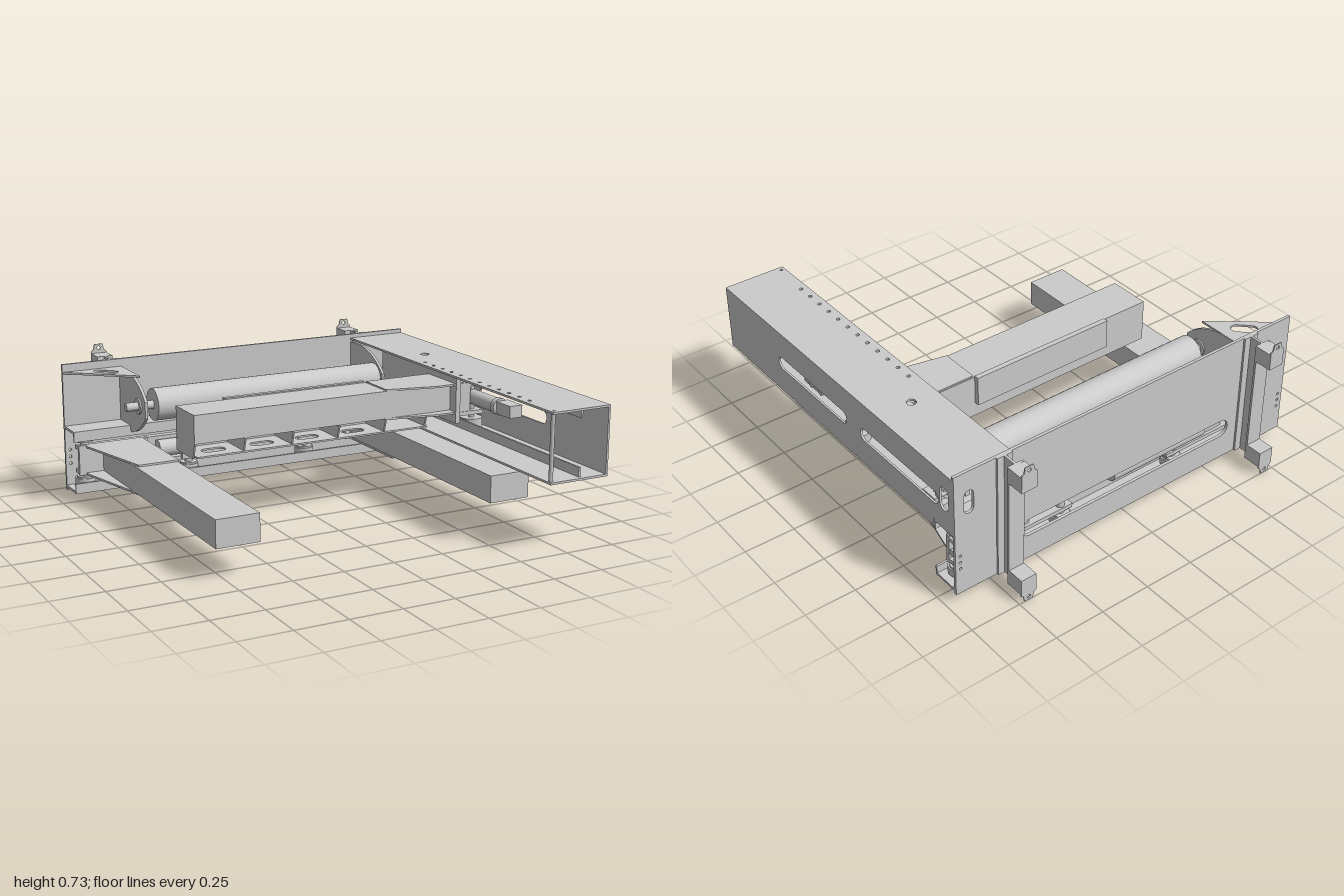
import * as THREE from 'three';

const mat = new THREE.MeshStandardMaterial({ color: 0xcccccc });

export function createModel() {
  const root = new THREE.Group();

  const add = (name, geo, parent = root) => {
    const m = new THREE.Mesh(geo, mat);
    m.name = name;
    parent.add(m);
    return m;
  };
  // box given by its limits on each axis
  const box = (name, x0, x1, y0, y1, z0, z1, parent) => add(name,
    new THREE.BoxGeometry(x1 - x0, y1 - y0, z1 - z0)
      .translate((x0 + x1) / 2, (y0 + y1) / 2, (z0 + z1) / 2), parent);
  // cylinder centred on a point, along one axis
  const rod = (name, axis, x, y, z, r, len, parent) => {
    const g = new THREE.CylinderGeometry(r, r, len, 32);
    if (axis === 'x') g.rotateZ(Math.PI / 2);
    if (axis === 'z') g.rotateX(Math.PI / 2);
    return add(name, g.translate(x, y, z), parent);
  };
  // stadium-shaped hole: centre, half length, radius, angle
  const slot = (u, v, half, r, a = 0) => {
    const p = new THREE.Path();
    const c = Math.cos(a) * half, s = Math.sin(a) * half;
    p.absarc(u + c, v + s, r, a - Math.PI / 2, a + Math.PI / 2);
    p.absarc(u - c, v - s, r, a + Math.PI / 2, a + Math.PI * 1.5);
    p.closePath();
    return p;
  };
  const hole = (u, v, r) => new THREE.Path().absarc(u, v, r, 0, Math.PI * 2);
  // flat plate from an outline; plates across x use (-z, y), across y use (x, -z)
  const plate = (name, axis, outline, holes, at, t, parent) => {
    const s = Array.isArray(outline)
      ? new THREE.Shape(outline.map(p => new THREE.Vector2(p[0], p[1]))) : outline;
    s.holes.push(...holes);
    const g = new THREE.ExtrudeGeometry(s, { depth: t, bevelEnabled: false, curveSegments: 12 });
    if (axis === 'x') g.rotateY(Math.PI / 2).translate(at, 0, 0);
    if (axis === 'y') g.rotateX(-Math.PI / 2).translate(0, at, 0);
    if (axis === 'z') g.translate(0, 0, at);
    return add(name, g, parent);
  };
  const rect = (u0, u1, v0, v1) => [[u0, v0], [u1, v0], [u1, v1], [u0, v1]];

  // back panel with window, end slot and bolt holes
  const bolts = [-0.93, 0.93].flatMap(x => [0.18, 0.215, 0.25].map(y => hole(x, y, 0.007)));
  plate('backPanel', 'z', rect(-0.955, 0.955, 0.045, 0.68),
    [slot(0, 0.215, 0.56, 0.045), slot(0.88, 0.52, 0.035, 0.025, Math.PI / 2), ...bolts], -0.83, 0.015);

  // cross rails that hold the lower rollers
  box('lowerRailWeb', -0.955, 0.955, 0.06, 0.072, -0.815, -0.685);
  box('lowerRailLip', -0.955, 0.955, 0.06, 0.11, -0.693, -0.682);
  box('upperRailWeb', -0.955, 0.955, 0.36, 0.372, -0.815, -0.685);
  box('upperRailLip', -0.955, 0.955, 0.32, 0.372, -0.693, -0.682);

  // rear posts of I section with mounting hooks
  for (const x of [-0.7, 0.7]) {
    const post = new THREE.Group();
    post.name = 'mountingPost';
    root.add(post);
    box('postWeb', x - 0.006, x + 0.006, 0.045, 0.68, -0.91, -0.83, post);
    box('postInnerFlange', x - 0.04, x + 0.04, 0.045, 0.68, -0.84, -0.83, post);
    box('postOuterFlange', x - 0.04, x + 0.04, 0.045, 0.68, -0.916, -0.905, post);
    for (const up of [1, -1]) {
      const Y = d => 0.3625 + up * d;
      const span = (a, b) => [Math.min(Y(a), Y(b)), Math.max(Y(a), Y(b))];
      for (const sx of [-0.04, 0.032])
        box('hookCheek', x + sx, x + sx + 0.008, ...span(0.237, 0.317), -1, -0.912, post);
      box('hookCap', x - 0.04, x + 0.04, ...span(0.309, 0.317), -1, -0.912, post);
      box('hookShelf', x - 0.04, x + 0.04, ...span(0.237, 0.245), -1, -0.912, post);
      const pts = [[x - 0.04, Y(0.237)], [x + 0.04, Y(0.237)], [x + 0.04, Y(0.325)], [x + 0.027, Y(0.335)],
        [x + 0.022, Y(0.3625)], [x - 0.022, Y(0.3625)], [x - 0.027, Y(0.335)], [x - 0.04, Y(0.325)]];
      plate('hookTab', 'z', pts, [hole(x, Y(0.343), 0.009)], -1, 0.006, post);
    }
  }

  // upper side arm: open channel along z
  const topHoles = Array.from({ length: 12 }, (_, i) => hole(0.68, 0.12 - i * 0.081, 0.009));
  plate('armTop', 'y', rect(0.645, 0.955, -1, 0.82),
    [...topHoles, hole(0.78, 0.285, 0.022), hole(0.665, -0.975, 0.007)], 0.65, 0.01);
  box('armBottom', 0.645, 0.955, 0.33, 0.34, -0.68, 1);
  plate('armWall', 'x',
    [[-1, 0.33], [0.68, 0.33], [0.68, 0.372], [0.815, 0.372], [0.815, 0.66], [-1, 0.66]],
    [slot(-0.255, 0.493, 0.253, 0.032), slot(0.43, 0.493, 0.258, 0.032),
      slot(0.76, 0.525, 0.03, 0.03, Math.PI / 2)], 0.945, 0.01);
  box('armLowerRailLip', 0.81, 0.82, 0.33, 0.385, -0.68, 0.98);
  box('armUpperRailLip', 0.81, 0.82, 0.61, 0.655, -0.8, 0.98);
  rod('armFrontPost', 'y', 0.662, 0.495, 0.975, 0.01, 0.32);
  // cylinder inside the arm
  rod('armCylinder', 'z', 0.88, 0.493, -0.225, 0.037, 0.95);
  rod('armCylinderCollar', 'z', 0.88, 0.493, 0.24, 0.042, 0.03);
  box('armClevis', 0.855, 0.925, 0.463, 0.523, 0.25, 0.37);
  for (const z of [0.29, 0.21, -0.69]) rod('armPin', 'x', 0.9, 0.493, z, 0.014, 0.08);

  // upper cross beam with ribbed tray beneath
  box('upperBeam', -0.62, 0.76, 0.435, 0.572, -0.205, 0.005);
  plate('beamTrayFloor', 'y', rect(-0.6, 0.63, 0.01, 0.2),
    [-0.48, -0.23, 0.01, 0.26].map(x => slot(x, 0.1, 0.03, 0.03)), 0.36, 0.008);
  box('beamTrayBack', -0.62, 0.63, 0.36, 0.435, -0.205, -0.195);
  for (const x of [-0.615, -0.36, -0.11, 0.135, 0.39, 0.62])
    plate('beamTrayRib', 'x', [[0.02, 0.36], [0.2, 0.36], [0.2, 0.436], [-0.004, 0.436]], [], x - 0.004, 0.008);
  box('beamWearStrip', -0.37, 0.385, 0.43, 0.578, -0.23, -0.204);
  const gusset = [[0.39, 0.2], [0.39, 0], [0.65, -0.055], [0.76, -0.055], [0.76, 0.2]];
  plate('beamGussetTop', 'y', gusset, [], 0.57, 0.009);
  plate('beamGussetBottom', 'y', gusset, [], 0.428, 0.009);
  // beam carriage and its rollers
  box('beamCarriage', 0.75, 0.775, 0.38, 0.62, -0.66, 0.06);
  for (const z of [-0.6, 0]) {
    box('beamAxleBlock', 0.77, 0.845, 0.41, 0.58, z - 0.04, z + 0.04);
    rod('beamAxle', 'y', 0.88, 0.495, z, 0.014, 0.27);
    for (const y of [0.365, 0.61]) rod('beamRoller', 'y', 0.88, y, z, 0.055, 0.045);
    for (const y of [0.42, 0.565]) box('beamAxleLug', 0.77, 0.92, y - 0.01, y + 0.01, z - 0.045, z + 0.045);
  }

  // large roller and its bearing plates
  rod('mainRoller', 'x', 0.025, 0.495, -0.565, 0.08, 1.23);
  rod('rollerShaft', 'x', -0.03, 0.495, -0.565, 0.021, 1.4);
  for (const x of [-0.662, 0.645]) {
    const s = new THREE.Shape();
    s.moveTo(0.82, 0.34);
    s.lineTo(0.82, 0.64);
    s.lineTo(0.7, 0.64);
    s.quadraticCurveTo(0.56, 0.62, 0.482, 0.53);
    s.lineTo(0.482, 0.45);
    s.quadraticCurveTo(0.56, 0.36, 0.68, 0.34);
    plate('bearingPlate', 'x', s, [], x, 0.014);
    rod('bearingHub', 'x', x + 0.007, 0.495, -0.565, 0.04, 0.03);
  }
  plate('cornerGusset', 'y', [[-0.955, 0.82], [-0.65, 0.57], [-0.65, 0.82]],
    [slot(-0.76, 0.735, 0.035, 0.028, -Math.PI / 4)], 0.632, 0.01);

  // lower arms, mirrored, each on a roller carriage
  for (const s of [-1, 1]) {
    const arm = new THREE.Group();
    arm.name = s < 0 ? 'rightLowerArm' : 'leftLowerArm';
    root.add(arm);
    const bx = (name, a, b, ...r) => box(name, Math.min(s * a, s * b), Math.max(s * a, s * b), ...r, arm);
    bx('armBeam', 0.588, 0.797, 0.15, 0.281, -0.72, 0.62);
    for (const y of [0.141, 0.28])
      plate('armGusset', 'y', [[s * 0.585, 0.27], [s * 0.785, 0.27], [s * 0.885, 0.69], [s * 0.885, 0.72], [s * 0.585, 0.72]],
        [], y, 0.01, arm);
    bx('carriagePlate', 0.56, 0.92, 0.14, 0.29, -0.735, -0.715);
    for (const y of [0.145, 0.265]) bx('carriageBar', 0.28, 0.92, y, y + 0.02, -0.775, -0.735);
    bx('carriageStrut', 0.285, 0.375, 0.15, 0.28, -0.735, -0.72);
    plate('cylinderBracket', 'z', rect(s * 0.57 - 0.06, s * 0.57 + 0.06, 0.165, 0.265),
      [hole(s * 0.53, 0.215, 0.018)], -0.76, 0.02, arm);
    for (const x of [0.33, 0.88]) {
      rod('axle', 'y', s * x, 0.217, -0.75, 0.02, 0.27, arm);
      for (const y of [0.105, 0.33]) {
        rod('roller', 'y', s * x, y, -0.75, 0.05, 0.036, arm);
        rod('rollerRim', 'y', s * x, y, -0.75, 0.043, 0.052, arm);
      }
    }
  }
  // cylinder that spreads the lower arms
  rod('spreadCylinder', 'x', -0.22, 0.215, -0.755, 0.043, 0.55);
  rod('spreadRod', 'x', 0.28, 0.215, -0.755, 0.013, 0.45);
  rod('threadedStop', 'x', 0.86, 0.215, -0.76, 0.018, 0.13);

  return root;
}
